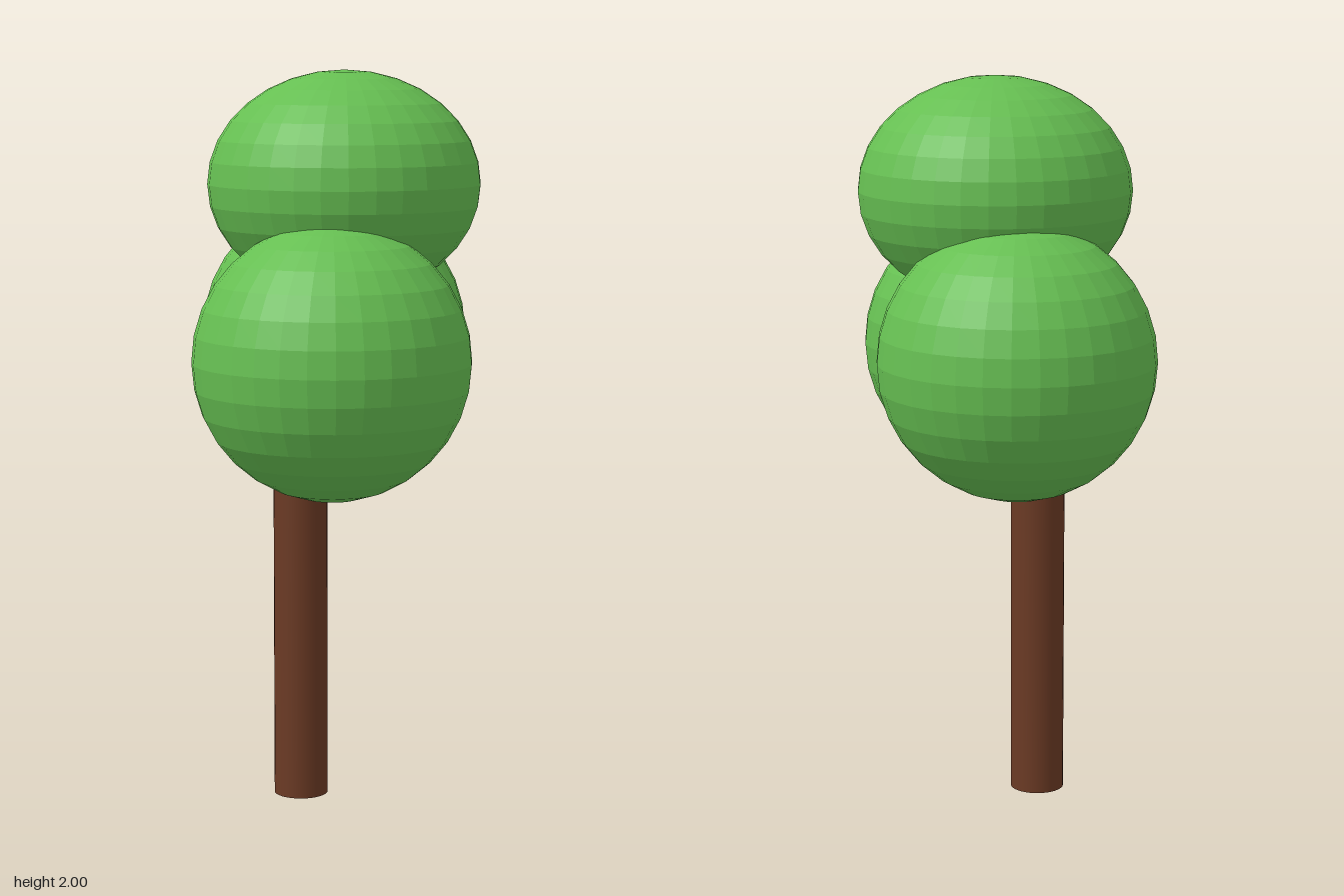
import * as THREE from 'three';

export function createModel() {
  const tree = new THREE.Group();
  tree.name = 'tree';

  const leafGreen = new THREE.MeshStandardMaterial({ color: 0x66bf52, flatShading: true });
  leafGreen.name = 'leaf green';
  const barkBrown = new THREE.MeshStandardMaterial({ color: 0x6b3a24 });
  barkBrown.name = 'bark brown';

  // Straight trunk, set off-centre, ending inside the foliage
  const trunkHeight = 1.25;
  const trunk = new THREE.Mesh(new THREE.CylinderGeometry(0.074, 0.074, trunkHeight, 32), barkBrown);
  trunk.name = 'trunk';
  trunk.position.set(-0.1, trunkHeight / 2, 0.01);
  tree.add(trunk);

  // Faceted foliage balls; the top one is slightly squashed
  const ball = new THREE.SphereGeometry(0.37, 32, 16);
  const addFoliage = (name, x, y, z, squash = 1) => {
    const mesh = new THREE.Mesh(ball, leafGreen);
    mesh.name = name;
    mesh.position.set(x, y, z);
    mesh.scale.y = squash;
    tree.add(mesh);
  };
  addFoliage('frontFoliage', -0.02, 1.24, 0.25);
  addFoliage('backFoliage', 0, 1.27, -0.25);
  addFoliage('topFoliage', 0.02, 1.694, 0, 0.827);

  return tree;
}
